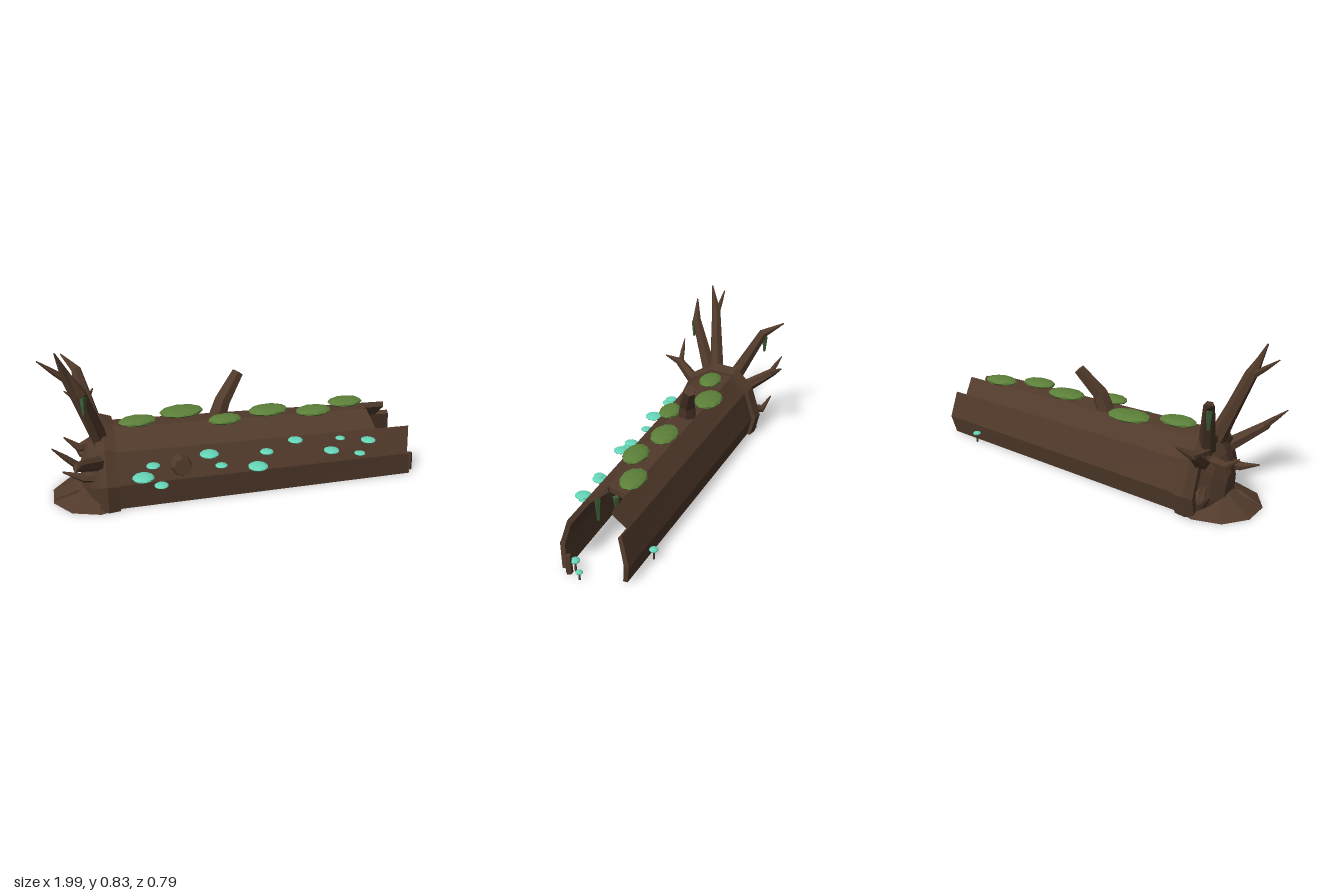
import * as THREE from 'three';

const mat = (name, color) => {
  const m = new THREE.MeshStandardMaterial({ color });
  m.name = name;
  return m;
};
const V = (x, y, z) => new THREE.Vector3(x, y, z);

// Faceted solid through matching cross-sections, closed at both ends
function loft(sections) {
  const tris = [], n = sections[0].length;
  const first = sections[0], last = sections[sections.length - 1];
  const centre = (ring) => ring.reduce((c, p) => c.add(p), V(0, 0, 0)).divideScalar(n);
  const c0 = centre(first), c1 = centre(last);
  for (let i = 0; i < n; i++) {
    const j = (i + 1) % n;
    for (let s = 0; s < sections.length - 1; s++) {
      const a = sections[s], b = sections[s + 1];
      tris.push([a[i], b[i], b[j]], [a[i], b[j], a[j]]);
    }
    tris.push([c0, first[i], first[j]], [c1, last[j], last[i]]);
  }
  // Signed volume tells whether the faces point outward
  const volume = tris.reduce((v, [a, b, c]) =>
    v + a.clone().sub(c0).dot(b.clone().sub(c0).cross(c.clone().sub(c0))), 0);
  const g = new THREE.BufferGeometry().setFromPoints(
    tris.flatMap(([a, b, c]) => (volume < 0 ? [a, c, b] : [a, b, c])));
  g.computeVertexNormals();
  return g;
}

// Bent tapering limb through a few points
function limb(points, radii) {
  return loft(points.map((q, i) => {
    const t = points[Math.min(i + 1, points.length - 1)].clone().sub(points[Math.max(i - 1, 0)]).normalize();
    const u = V(0.3, 0.2, 1).cross(t).normalize();
    const w = t.clone().cross(u);
    return Array.from({ length: 6 }, (_, k) => {
      const a = (k / 6) * Math.PI * 2;
      return q.clone().addScaledVector(u, Math.cos(a) * radii[i]).addScaledVector(w, Math.sin(a) * radii[i]);
    });
  }));
}

function flat(geometry) {
  const g = geometry.index ? geometry.toNonIndexed() : geometry;
  g.computeVertexNormals();
  return g;
}

// Squashed faceted lump for moss, fungi and caps
const lump = (w, h, d, turn) => flat(new THREE.IcosahedronGeometry(1, 1).rotateY(turn).scale(w, h, d));

export function createModel() {
  const bark = mat('bark brown', 0x513a2b);
  const moss = mat('moss green', 0x5c8039);
  const vineGreen = mat('vine green', 0x3f6138);
  const teal = mat('fungus teal', 0x66d6b8);

  const model = new THREE.Group();
  model.name = 'fallenLog';
  const add = (parent, name, geometry, material, x = 0, y = 0, z = 0) => {
    const m = new THREE.Mesh(geometry, material);
    m.name = name;
    m.position.set(x, y, z);
    parent.add(m);
    return m;
  };

  // Trunk, built along its own axis and turned slightly
  const trunk = new THREE.Group();
  trunk.name = 'trunk';
  trunk.position.z = 0.06;
  trunk.rotation.y = -0.11;
  model.add(trunk);

  const profile = [[0.17, 0], [0.185, 0.13], [0.13, 0.27], [0.03, 0.345],
    [-0.07, 0.335], [-0.14, 0.25], [-0.18, 0.1], [-0.16, 0]];
  const ring = (x, sz, sy) => profile.map(([z, y]) => V(x, y * sy, z * sz));
  const trunkRing = (x) => {
    const t = (0.93 - x) / 1.55;
    return ring(x, 1 + 0.25 * t, 1 + 0.09 * t);
  };
  add(trunk, 'solidTrunk', loft([-0.7, -0.2, 0.33].map(trunkRing)), bark);

  // Splintered wall of the hollow end: one plank for each side
  const inner = (p) => V(p.x, p.y === 0 ? 0 : 0.14 + (p.y - 0.14) * 0.86, p.z * 0.86);
  [0.93, 0.92, 0.73, 0.72, 0.85, 0.93, 0.93].forEach((end, i) => {
    const slant = i % 2 ? 0.01 : -0.01;
    const section = (xa, xb) => {
      const a = trunkRing(xa)[i], b = trunkRing(xb)[i + 1];
      return [a, b, inner(b), inner(a)];
    };
    add(trunk, 'hollowPlank', loft([section(0.33, 0.33), section(end - slant, end + slant)]), bark);
  });

  // Root collar and the flare behind it
  add(trunk, 'rootCollar', loft([ring(-0.75, 1.28, 1.08), ring(-0.71, 1.44, 1.2), ring(-0.65, 1.38, 1.14)]), bark);
  add(trunk, 'rootHub', loft([ring(-0.74, 1.2, 1), ring(-0.79, 0.8, 0.8), ring(-0.83, 0.3, 0.5)]), bark);
  add(trunk, 'rootFlare', flat(new THREE.ConeGeometry(0.24, 0.12, 10)), bark, -0.75, 0.06, 0.01);

  // Roots radiate from the hub: bend, tip and sometimes the tip of a spur
  const hub = V(-0.71, 0.17, -0.01);
  [
    [V(-0.87, 0.69, 0.06), V(-0.92, 0.83, 0.098), V(-1, 0.78, 0.04)],
    [V(-0.82, 0.64, 0.17), V(-0.87, 0.755, 0.178)],
    [V(-0.78, 0.61, -0.255), V(-0.84, 0.662, -0.365)],
    [V(-0.74, 0.38, -0.325), V(-0.68, 0.435, -0.39), V(-0.84, 0.45, -0.365)],
    [V(-0.78, 0.11, -0.27), V(-0.83, 0.18, -0.31)],
    [V(-0.88, 0.325, 0.3), V(-0.9, 0.345, 0.395), V(-0.99, 0.435, 0.296)],
    [V(-0.83, 0.16, 0.11), V(-0.93, 0.2, 0.09)],
    [V(-0.82, 0.24, -0.08), V(-0.89, 0.3, -0.1)],
    [V(-0.87, 0.045, 0.03), V(-0.975, 0.015, 0.02)],
  ].forEach(([bend, tip, spur]) => {
    const out = bend.clone().sub(hub).setX(0).setLength(0.13);
    const base = hub.clone().add(out);
    const r = 0.037 + 0.025 * base.distanceTo(bend);
    add(model, 'root', limb([base, bend, tip], [r, r * 0.58, 0.004]), bark);
    if (spur) {
      const start = bend.clone().lerp(base, 0.06);
      add(model, 'rootSpur', limb([start, start.clone().lerp(spur, 0.5), spur], [0.019, 0.014, 0.003]), bark);
    }
  });

  // Broken branch and knot
  add(model, 'brokenBranch',
    limb([V(-0.11, 0.3, 0.02), V(-0.06, 0.44, 0.01), V(0.04, 0.57, -0.035)], [0.055, 0.045, 0.033]), bark);
  const knot = add(model, 'knot', flat(new THREE.CylinderGeometry(0.045, 0.062, 0.06, 8)), bark, -0.35, 0.205, 0.225);
  knot.rotation.x = Math.PI / 2 - 0.2;

  // Moss patches along the sloping top: x, z, half width
  [[-0.52, 0, 0.1], [-0.27, -0.055, 0.12], [-0.08, 0.11, 0.09],
    [0.18, 0.06, 0.11], [0.41, 0.135, 0.1], [0.63, 0.07, 0.1],
  ].forEach(([x, z, w], i) => {
    add(model, 'mossPatch', lump(w, 0.022, w * 0.65, i * 1.3), moss, x, 0.375 - 0.018 * x, z);
  });

  // Shelf fungi following the front wall: x, y, radius
  [[-0.555, 0.185, 0.056], [-0.5, 0.235, 0.036], [-0.47, 0.14, 0.037], [-0.21, 0.26, 0.05],
    [-0.155, 0.2, 0.032], [0.035, 0.175, 0.053], [0.09, 0.24, 0.036], [0.25, 0.28, 0.04],
    [0.44, 0.21, 0.042], [0.495, 0.265, 0.026], [0.595, 0.18, 0.03], [0.65, 0.24, 0.04],
  ].forEach(([x, y, r], i) => {
    add(model, 'shelfFungus', lump(r, r * 0.27, r, i), teal, x, y, 0.37 + 0.08 * x - 0.4 * y);
  });

  // Ground mushrooms: x, cap height, z, radius
  [[0.73, 0.054, -0.058, 0.023], [0.92, 0.06, 0.262, 0.024], [0.975, 0.042, 0.22, 0.018]].forEach(([x, y, z, r]) => {
    add(model, 'mushroomCap', lump(r, r * 0.5, r, 0), teal, x, y, z);
    add(model, 'mushroomStem', flat(new THREE.CylinderGeometry(0.004, 0.006, y, 5)), bark, x, y / 2, z);
  });
  add(model, 'splinter', flat(new THREE.CylinderGeometry(0.013, 0.018, 0.1, 5)), bark, 0.94, 0.05, 0.285);

  // Hanging vines: x, top, z, length
  [[0.7, 0.29, 0.23, 0.145], [0.7, 0.295, 0.135, 0.06], [0.69, 0.295, 0.06, 0.12],
    [-0.815, 0.63, 0.183, 0.095], [-0.785, 0.59, -0.265, 0.095],
  ].forEach(([x, top, z, len]) => {
    add(model, 'hangingVine', flat(new THREE.CylinderGeometry(0.017, 0.007, len, 4)), vineGreen, x, top - len / 2, z);
  });

  return model;
}
